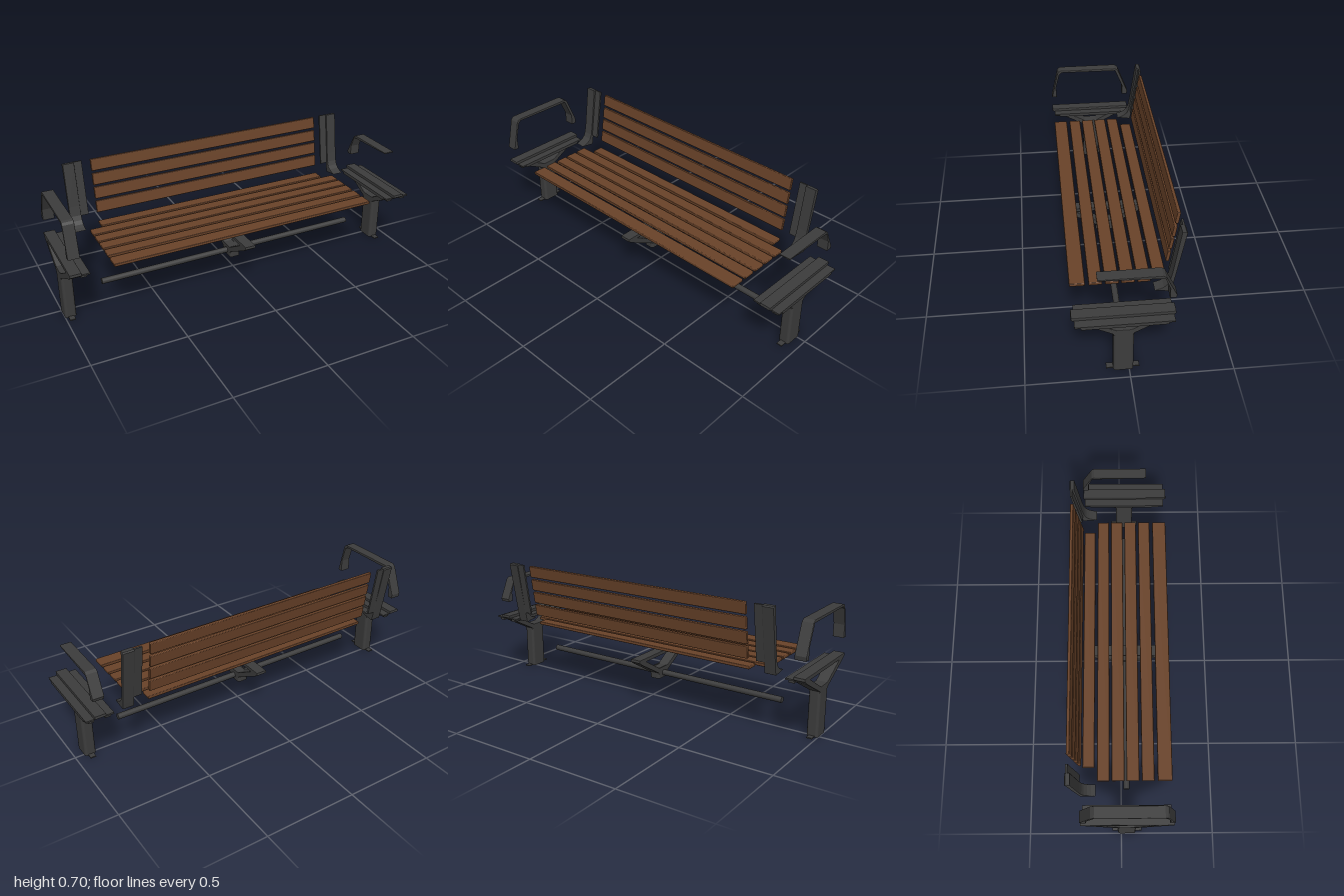
import * as THREE from 'three';
import { RoundedBoxGeometry } from 'three/addons/geometries/RoundedBoxGeometry.js';

const metal = new THREE.MeshStandardMaterial({ color: 0x3c3c3c });
metal.name = 'dark metal';
const wood = new THREE.MeshStandardMaterial({ color: 0x6a4329 });
wood.name = 'brown wood';

function add(parent, name, geometry, material, x = 0, y = 0, z = 0) {
  const mesh = new THREE.Mesh(geometry, material);
  mesh.name = name;
  mesh.position.set(x, y, z);
  parent.add(mesh);
  return mesh;
}

const toPoints = (list) => list.map(([a, b]) => new THREE.Vector2(a, b));

// Side profile given as [z, y] corners, extruded along x and centred on x = 0
function profile(corners, width, hole, bevel = 0.003) {
  const shape = new THREE.Shape(toPoints(corners));
  if (hole) shape.holes.push(new THREE.Path(toPoints(hole)));
  const geometry = new THREE.ExtrudeGeometry(shape, {
    depth: width - 2 * bevel, bevelEnabled: bevel > 0,
    bevelThickness: bevel, bevelSize: bevel, bevelOffset: -bevel, bevelSegments: 2,
  });
  geometry.rotateY(-Math.PI / 2);
  geometry.translate(width / 2 - bevel, 0, 0);
  return geometry;
}

// Rounded rectangle used for the plan of the hollow posts
function roundedRect(path, w, d, r) {
  const x = w / 2, y = d / 2;
  path.absarc(x - r, y - r, r, 0, Math.PI / 2);
  path.absarc(-x + r, y - r, r, Math.PI / 2, Math.PI);
  path.absarc(-x + r, -y + r, r, Math.PI, 1.5 * Math.PI);
  path.absarc(x - r, -y + r, r, 1.5 * Math.PI, 2 * Math.PI);
  path.closePath();
  return path;
}

function post(bottom, top) {
  const shape = roundedRect(new THREE.Shape(), 0.06, 0.097, 0.014);
  shape.holes.push(roundedRect(new THREE.Path(), 0.046, 0.083, 0.009));
  const geometry = new THREE.ExtrudeGeometry(shape, { depth: top - bottom, bevelEnabled: false, curveSegments: 6 });
  geometry.rotateX(-Math.PI / 2);
  geometry.translate(0, bottom, 0.0285);
  return geometry;
}

// Two spreading arms closed by a bar along the top
const yoke = [
  [0.27, 0.365], [-0.21, 0.365], [-0.212, 0.352], [-0.185, 0.333], [-0.02, 0.243],
  [-0.02, 0.235], [0.077, 0.235], [0.077, 0.243], [0.245, 0.333], [0.272, 0.352],
];
const yokeGap = [[0.2, 0.345], [0.065, 0.267], [-0.008, 0.267], [-0.145, 0.345]];

function endFrame(x, ledgeSides) {
  const frame = new THREE.Group();
  frame.position.x = x;
  add(frame, 'legPost', post(0, 0.245), metal);
  add(frame, 'seatYoke', profile(yoke, 0.06, yokeGap), metal);
  add(frame, 'footTab', new THREE.BoxGeometry(0.03, 0.006, 0.16), metal, 0, 0.003, 0.03);
  // Ledges carrying the slat ends
  for (const side of ledgeSides) {
    add(frame, 'slatLedge', new THREE.BoxGeometry(0.045, 0.008, 0.46), metal, side * 0.0515, 0.345, 0.028);
    add(frame, 'ledgeLip', new THREE.BoxGeometry(0.008, 0.016, 0.4), metal, side * 0.07, 0.339, 0.028);
    for (const z of [0.235, -0.18]) {
      add(frame, 'ledgeBlock', new THREE.BoxGeometry(0.03, 0.014, 0.03), metal, side * 0.044, 0.335, z);
    }
  }
  return frame;
}

// Leaning back support: z of its centre line at a given height
const lean = Math.atan(0.155);
const backZ = (y) => -0.258 + (0.703 - y) * 0.155;

function backSupport(x, inward) {
  const support = new THREE.Group();
  support.position.x = x;
  const upright = [
    [-0.246, 0.704], [-0.266, 0.702], [-0.271, 0.696], [-0.218, 0.388], [-0.212, 0.355],
    [-0.205, 0.352], [-0.132, 0.364], [-0.155, 0.371], [-0.175, 0.38], [-0.192, 0.396],
    [-0.203, 0.42], [-0.213, 0.472],
  ];
  add(support, 'backUpright', profile(upright.reverse(), 0.06), metal);
  const flange = add(support, 'backFlange', new THREE.BoxGeometry(0.044, 0.295, 0.01), metal,
    inward * 0.05, 0.557, backZ(0.557) - 0.004);
  flange.rotation.x = -lean;
  return support;
}

const fullArm = [
  [0.27, 0.45], [0.231, 0.617], [0.223, 0.628], [0.21, 0.633], [-0.132, 0.633], [-0.15, 0.621],
  [-0.21, 0.472], [-0.207, 0.45], [-0.177, 0.45], [-0.177, 0.51], [-0.132, 0.617],
  [0.205, 0.62], [0.22, 0.606], [0.243, 0.518], [0.241, 0.45],
];
const halfArm = [
  [0.15, 0.584], [-0.143, 0.584], [-0.157, 0.575], [-0.21, 0.465], [-0.207, 0.45],
  [-0.177, 0.45], [-0.177, 0.505], [-0.153, 0.567], [-0.143, 0.568], [0.15, 0.578],
];

export function createModel() {
  const bench = new THREE.Group();
  bench.name = 'explodedBench';

  // Seat slats; the rearmost one is shorter
  const seat = new THREE.Group();
  seat.name = 'seat';
  bench.add(seat);
  const slats = [[0.228, 0.076], [0.14, 0.065], [0.061, 0.066], [-0.016, 0.066], [-0.093, 0.064], [-0.17, 0.062]];
  slats.forEach(([z, width], i) => {
    const [length, x] = i === 5 ? [1.365, -0.0225] : [1.502, -0.024];
    add(seat, 'seatSlat', new RoundedBoxGeometry(length, 0.017, width, 2, 0.004), wood, x, 0.359, z);
  });

  // Back slats
  const back = new THREE.Group();
  back.name = 'back';
  bench.add(back);
  for (const y of [0.443, 0.519, 0.594, 0.671]) {
    const slat = add(back, 'backSlat', new RoundedBoxGeometry(1.365, 0.064, 0.017, 2, 0.004), wood, -0.0225, y, backZ(y));
    slat.rotation.x = -lean;
  }

  // Back supports
  const rightSupport = backSupport(-0.823, 1);
  rightSupport.name = 'rightBackSupport';
  const leftSupport = backSupport(0.775, -1);
  leftSupport.name = 'leftBackSupport';
  bench.add(rightSupport, leftSupport);

  // Armrests
  add(bench, 'rightArmrest', profile(fullArm, 0.06), metal, -0.97);
  add(bench, 'leftArmrest', profile(halfArm, 0.06, null, 0.002), metal, 0.921);

  // End frames
  const rightFrame = endFrame(-0.97, [1]);
  rightFrame.name = 'rightEndFrame';
  const leftFrame = endFrame(0.921, [-1, 1]);
  leftFrame.name = 'leftEndFrame';
  bench.add(rightFrame, leftFrame);

  // Centre bracket and long stretcher
  const centre = new THREE.Group();
  centre.name = 'centreBracket';
  centre.position.x = -0.024;
  bench.add(centre);
  add(centre, 'bracketPost', post(0.11, 0.17), metal);
  const centreYoke = profile(yoke, 0.06, yokeGap);
  centreYoke.scale(1, 1, 0.95);
  add(centre, 'bracketYoke', centreYoke, metal, 0, -0.1, 0);
  const stretcher = new THREE.CylinderGeometry(0.016, 0.016, 1.515, 20);
  stretcher.rotateZ(Math.PI / 2);
  add(bench, 'stretcher', stretcher, metal, -0.023, 0.136, 0.0285);

  return bench;
}
